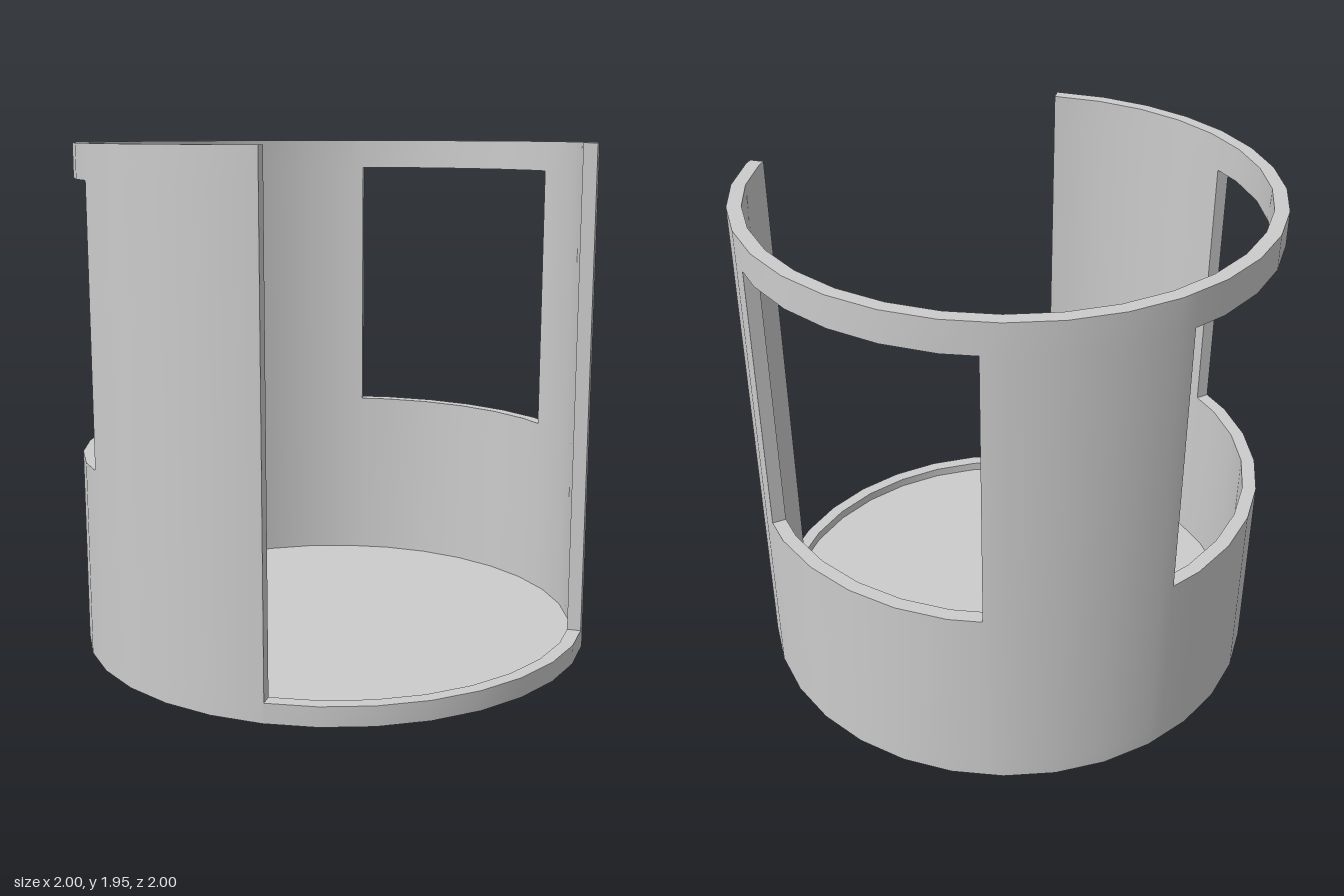
import * as THREE from 'three';
import { toCreasedNormals } from 'three/addons/utils/BufferGeometryUtils.js';

const SIDES = 32, STEP = 360 / SIDES;
const OUTER = 1, INNER = 0.947;
const HEIGHT = 1.95, FLOOR_Y = 0.037, RIM_Y = 0.075, SILL = 0.76;

// Cut-outs in the wall: angles in degrees from +z towards +x, and heights
const CUTS = [
  { a0: 0.4, a1: 88, y0: RIM_Y, y1: HEIGHT },     // doorway, open to the top
  { a0: 128, a1: 187.2, y0: SILL, y1: 1.83 },     // back window
  { a0: 228.8, a1: 311.3, y0: SILL, y1: 1.82 },   // side window
];

// Point on the faceted cylinder; in-between angles lie on the flat facet
function point(deg, radius, y) {
  const rad = THREE.MathUtils.degToRad;
  const off = (deg % STEP) - STEP / 2;
  const r = radius * Math.cos(rad(STEP / 2)) / Math.cos(rad(off));
  return [r * Math.sin(rad(deg)), y, r * Math.cos(rad(deg))];
}

// Thick curved wall from a grid of angle and height cells, leaving out the cuts
function wallGeometry() {
  const sorted = (list) => [...new Set(list)].sort((a, b) => a - b);
  const angles = sorted([
    ...Array.from({ length: SIDES + 1 }, (_, i) => i * STEP),
    ...CUTS.flatMap((c) => [c.a0, c.a1]),
  ]);
  const rows = sorted([0, HEIGHT, ...CUTS.flatMap((c) => [c.y0, c.y1])]);
  const cols = angles.length - 1;
  const solid = (i, j) => {
    if (j < 0 || j >= rows.length - 1) return false;
    i = (i + cols) % cols;
    const a = (angles[i] + angles[i + 1]) / 2, y = (rows[j] + rows[j + 1]) / 2;
    return !CUTS.some((c) => a > c.a0 && a < c.a1 && y > c.y0 && y < c.y1);
  };
  const pos = [];
  const quad = (a, b, c, d) => pos.push(...a, ...b, ...c, ...a, ...c, ...d);

  for (let i = 0; i < cols; i++) {
    for (let j = 0; j < rows.length - 1; j++) {
      if (!solid(i, j)) continue;
      const [a0, a1, y0, y1] = [angles[i], angles[i + 1], rows[j], rows[j + 1]];
      const o = [point(a0, OUTER, y0), point(a1, OUTER, y0), point(a1, OUTER, y1), point(a0, OUTER, y1)];
      const n = [point(a0, INNER, y0), point(a1, INNER, y0), point(a1, INNER, y1), point(a0, INNER, y1)];
      quad(o[0], o[1], o[2], o[3]);                            // outside
      quad(n[1], n[0], n[3], n[2]);                            // inside
      if (!solid(i, j + 1)) quad(o[3], o[2], n[2], n[3]);      // upward edge
      if (!solid(i, j - 1)) quad(n[0], n[1], o[1], o[0]);      // downward edge
      if (!solid(i + 1, j)) quad(o[1], n[1], n[2], o[2]);      // end edges
      if (!solid(i - 1, j)) quad(n[0], o[0], o[3], n[3]);
    }
  }
  const geo = new THREE.BufferGeometry();
  geo.setAttribute('position', new THREE.Float32BufferAttribute(pos, 3));
  return toCreasedNormals(geo, Math.PI / 6);
}

export function createModel() {
  const model = new THREE.Group();
  model.name = 'openCylinderHousing';
  const material = new THREE.MeshStandardMaterial({ color: 0xcccccc });
  const add = (name, geometry) => {
    const mesh = new THREE.Mesh(geometry, material);
    mesh.name = name;
    model.add(mesh);
  };

  // Wall with doorway, windows and base rim
  add('wall', wallGeometry());

  // Recessed floor and flat underside
  add('floor', new THREE.CircleGeometry(INNER, SIDES).rotateX(-Math.PI / 2).translate(0, FLOOR_Y, 0));
  add('underside', new THREE.CircleGeometry(INNER, SIDES).rotateX(Math.PI / 2));

  return model;
}
